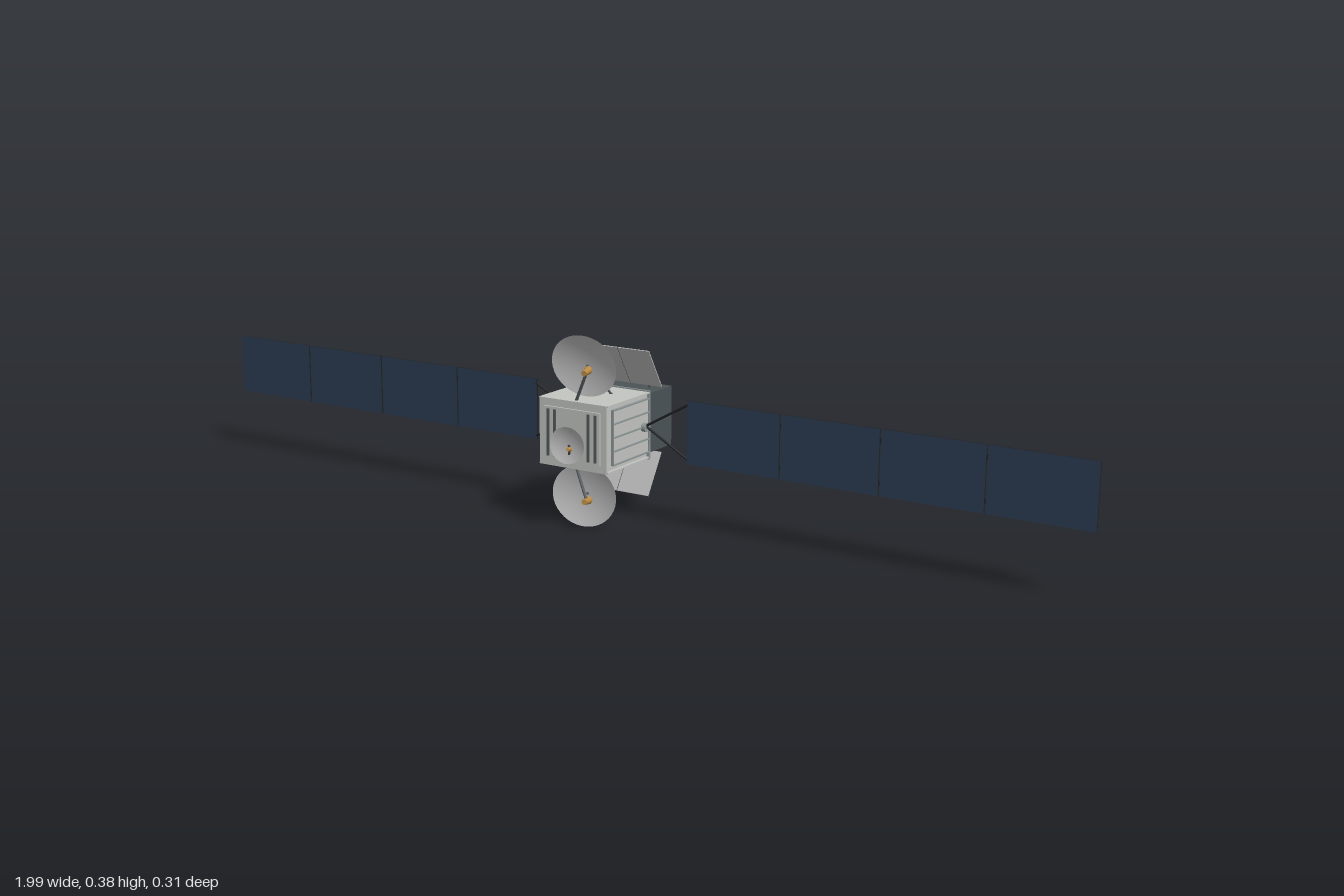
import * as THREE from 'three';

const mat = (name, color, side = THREE.FrontSide) => {
  const m = new THREE.MeshStandardMaterial({ color, side });
  m.name = name;
  return m;
};

const CY = 0.193; // height of the body axis
const V = (x, y, z) => new THREE.Vector3(x, y, z);

export function createModel() {
  const root = new THREE.Group();
  root.name = 'satellite';

  const silver = mat('silver body', 0xc3c5c1);
  const slate = mat('dark slate', 0x4b5356);
  const navy = mat('solar navy', 0x2b3c52);
  const backGrey = mat('panel back grey', 0x70787c);
  const dishGrey = mat('dish grey', 0xbababa, THREE.DoubleSide);
  const gold = mat('horn gold', 0xb98a45);
  const strutGrey = mat('strut grey', 0x555a5e);
  const black = mat('black', 0x1e2123);
  const finGrey = mat('fin grey', 0x8f9798);
  const ringGrey = mat('ring grey', 0x777d82, THREE.DoubleSide);

  const add = (name, geo, material, parent = root) => {
    const m = new THREE.Mesh(geo, material);
    m.name = name;
    parent.add(m);
    return m;
  };
  const box = (name, w, h, d, x, y, z, material, parent) => {
    const m = add(name, new THREE.BoxGeometry(w, h, d), material, parent);
    m.position.set(x, y, z);
    return m;
  };
  // Round bar between two points, optionally tapered
  const rod = (name, a, b, r, material, r2 = r, sides = 10) => {
    const dir = b.clone().sub(a);
    const m = add(name, new THREE.CylinderGeometry(r2, r, dir.length(), sides), material);
    m.position.copy(a).add(b).multiplyScalar(0.5);
    m.quaternion.setFromUnitVectors(V(0, 1, 0), dir.normalize());
    return m;
  };
  // Shallow elliptical bowl, open towards +z
  const dish = (name, rx, ry, depth, pos, tilt) => {
    const pts = [];
    for (let i = 0; i <= 8; i++) pts.push(new THREE.Vector2(i / 8, depth * (i / 8) ** 2));
    const geo = new THREE.LatheGeometry(pts, 40).rotateX(Math.PI / 2).scale(rx, ry, 1);
    geo.computeVertexNormals();
    const m = add(name, geo, dishGrey);
    m.position.copy(pos);
    m.rotation.x = tilt;
  };

  // Main body with end flanges and front plate
  box('body', 0.148, 0.132, 0.152, 0, CY, 0.03, silver);
  box('frontFlange', 0.156, 0.134, 0.008, 0, CY, 0.103, silver);
  box('rearFlange', 0.16, 0.139, 0.004, 0, CY, -0.045, finGrey);
  box('frontPlate', 0.13, 0.104, 0.004, 0, CY, 0.109, silver);
  for (const s of [1, -1]) {
    for (const x of [0.039, 0.055]) {
      box('frontLouvre', 0.006, 0.094, 0.003, s * x, CY, 0.111, strutGrey);
    }
    // Side panel with cooling fins
    box('sidePanel', 0.004, 0.11, 0.128, s * 0.075, CY, 0.02, silver);
    for (let i = -2; i <= 2; i++) {
      box('sideFin', 0.006, 0.003, 0.128, s * 0.077, CY + i * 0.027, 0.02, finGrey);
    }
    box('sideFrame', 0.006, 0.11, 0.002, s * 0.077, CY, 0.084, finGrey);
    box('sideSill', 0.16, 0.003, 0.15, 0, CY + s * 0.0655, 0.03, silver);
  }

  // Rear propulsion module with hollow nozzle ring
  box('rearModule', 0.14, 0.121, 0.096, 0, CY, -0.094, slate);
  const ringProfile = [[0.052, 0], [0.052, 0.012], [0.036, 0.012], [0.031, 0.001], [0, 0.001]]
    .map(([r, y]) => new THREE.Vector2(r, y));
  const ringGeo = new THREE.LatheGeometry(ringProfile, 36).toNonIndexed();
  ringGeo.computeVertexNormals();
  const ring = add('nozzleRing', ringGeo, ringGrey);
  ring.rotation.x = -Math.PI / 2;
  ring.position.set(0, CY, -0.142);
  const hole = add('nozzleFloor', new THREE.CircleGeometry(0.03, 32), slate);
  hole.rotation.y = Math.PI;
  hole.position.set(0, CY, -0.1445);

  // Upper and lower antenna sets and radiator flaps
  for (const s of [1, -1]) {
    const Y = (d) => CY + s * d;
    dish('mainDish', 0.075, 0.0613, 0.0125, V(0, Y(0.131), 0.056), s * 0.11);
    for (const x of [-0.027, 0.027]) {
      rod('dishStrut', V(x, Y(0.065), 0.01), V(0, Y(0.13), 0.056), 0.0024, strutGrey);
    }
    rod('feedArm', V(0, Y(0.065), 0.095), V(0.03, Y(0.124), 0.105), 0.003, strutGrey);
    rod('feedHorn', V(0.032, Y(0.127), 0.115), V(0.027, Y(0.129), 0.092), 0.0055, gold, 0.008, 16);

    const flap = new THREE.Group();
    flap.name = 'radiatorFlap';
    flap.position.set(0, Y(0.107), -0.0735);
    flap.rotation.x = s * 0.549;
    root.add(flap);
    for (const x of [-0.0375, 0.0375]) {
      box('flapPanel', 0.0735, 0.094, 0.002, x, 0, 0, dishGrey, flap);
    }
    box('flapSeam', 0.002, 0.094, 0.0015, 0, 0, 0, strutGrey, flap);
    for (const x of [-0.045, 0.045]) {
      rod('flapHinge', V(x, Y(0.058), -0.1), V(x, Y(0.068), -0.097), 0.002, strutGrey);
    }
  }

  // Small front dish and its feed
  dish('frontDish', 0.04, 0.036, 0.008, V(0, 0.176, 0.119), -0.07);
  rod('frontDishMount', V(0, 0.176, 0.108), V(0, 0.174, 0.12), 0.003, strutGrey);
  rod('frontFeedArm', V(-0.008, 0.15, 0.109), V(0.02, 0.176, 0.146), 0.0022, strutGrey);
  rod('frontFeedHorn', V(0.022, 0.178, 0.156), V(0.017, 0.175, 0.142), 0.003, gold, 0.005, 14);

  // Solar wings: yoke, four hinged panels, dashed seams behind
  const pz = -0.025, py = 0.196, ph = 0.126, start = 0.178, pitch = 0.2055, pw = 0.202;
  const panelMats = [black, black, black, black, navy, backGrey];
  for (const s of [1, -1]) {
    rod('wingHub', V(s * 0.072, CY, pz), V(s * 0.086, CY, pz), 0.009, finGrey, 0.009, 20);
    for (const t of [1, -1]) {
      rod('yoke', V(s * 0.083, py, pz), V(s * 0.18, py + t * 0.055, pz), 0.0025, black);
    }
    for (let i = 0; i < 4; i++) {
      const x = s * (start + pw / 2 + i * pitch);
      box('solarPanel', pw, ph, 0.004, x, py, pz, panelMats);
      for (const t of [1, -1]) {
        for (let k = 0; k < 12; k++) {
          box('backDash', 0.009, 0.0018, 0.001, x + (k - 5.5) * 0.0165, py + t * 0.05, pz - 0.0022, black);
        }
        if (i < 3) {
          box('panelHinge', 0.012, 0.008, 0.003, s * (start + (i + 1) * pitch - 0.0018), py + t * 0.04, pz - 0.0015, black);
        }
      }
    }
  }
  return root;
}
